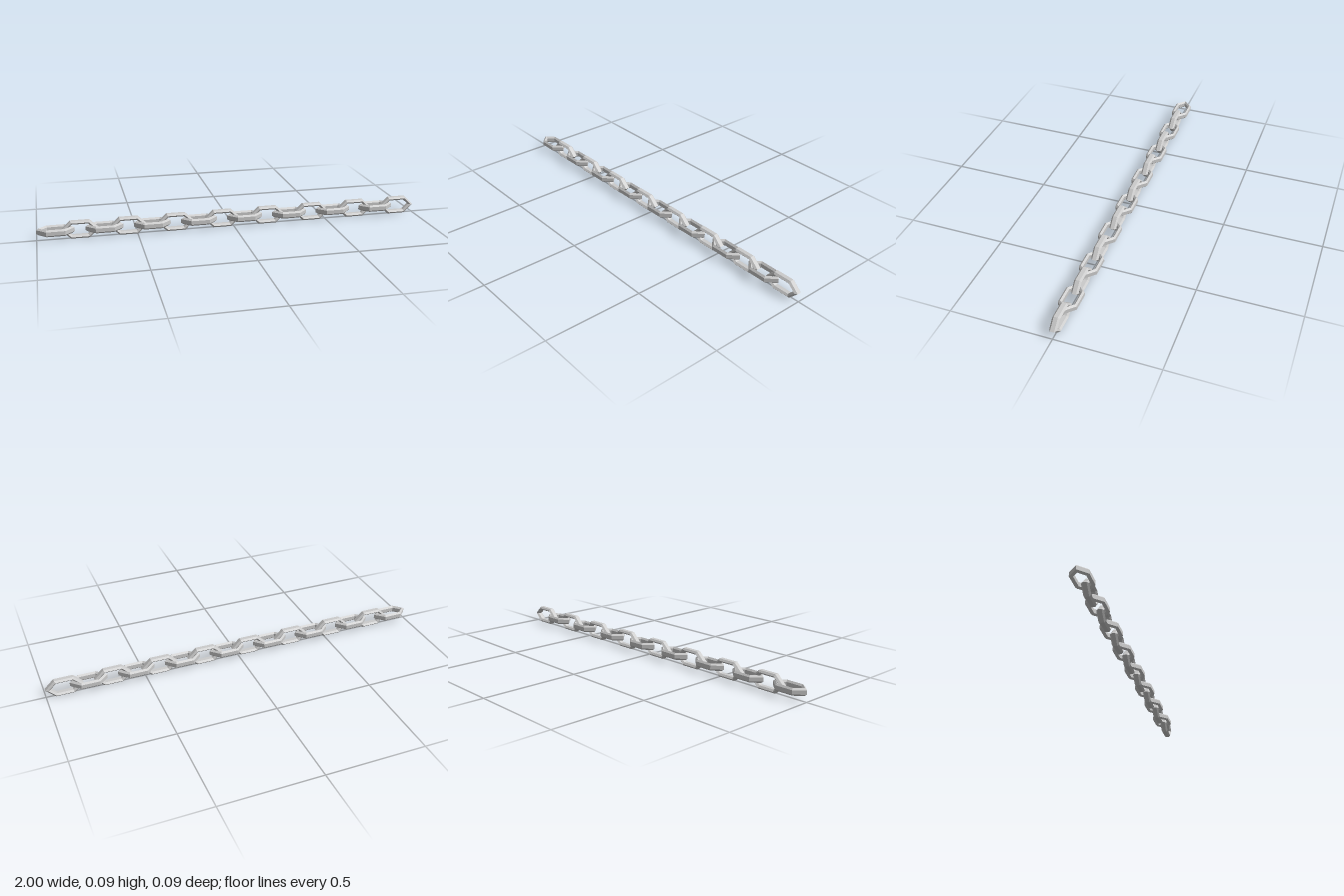
import * as THREE from 'three';

const COUNT = 16, HALF_LENGTH = 0.094, HALF_FLAT = 0.047, HALF_HEIGHT = 0.045;
const HALF_THICK = 0.0085, HALF_WIDTH = 0.018, HALF_FACE = 0.0098;

// Six-cornered link lying in the XY plane, inset by a depth from its outer outline
function corner(i, depth) {
  const slant = Math.atan2(HALF_HEIGHT, HALF_LENGTH - HALF_FLAT);
  const sx = [1, 1, -1, -1, -1, 1][i], sy = [0, 1, 1, 0, -1, -1][i];
  return sy === 0
    ? [sx * (HALF_LENGTH - depth / Math.sin(slant)), 0]
    : [sx * (HALF_FLAT - depth * Math.tan(slant / 2)), sy * (HALF_HEIGHT - depth)];
}

// Hexagonal bar section swept round the link with mitred corners
function linkGeometry() {
  const section = [
    [0, -HALF_FACE], [0, HALF_FACE], [HALF_THICK, HALF_WIDTH],
    [2 * HALF_THICK, HALF_FACE], [2 * HALF_THICK, -HALF_FACE], [HALF_THICK, -HALF_WIDTH],
  ];
  const positions = [], index = [];
  for (let i = 0; i < 6; i++) {
    for (let j = 0; j < 6; j++) {
      const [depth, z] = section[j];
      positions.push(...corner(i, depth), z);
      const a = i * 6 + j, b = ((i + 1) % 6) * 6 + j;
      const c = ((i + 1) % 6) * 6 + (j + 1) % 6, d = i * 6 + (j + 1) % 6;
      index.push(a, b, c, a, c, d);
    }
  }
  const geometry = new THREE.BufferGeometry();
  geometry.setAttribute('position', new THREE.Float32BufferAttribute(positions, 3));
  geometry.setIndex(index);
  const flat = geometry.toNonIndexed();
  flat.computeVertexNormals();
  return flat;
}

export function createModel() {
  const chain = new THREE.Group();
  chain.name = 'chain';
  const geometry = linkGeometry();
  const material = new THREE.MeshStandardMaterial({ color: 0xcccccc, flatShading: true });
  const pitch = (2 - 2 * HALF_LENGTH) / (COUNT - 1);

  // Links alternate between lying flat and standing upright
  for (let i = 0; i < COUNT; i++) {
    const link = new THREE.Mesh(geometry, material);
    const lying = i % 2 === 0;
    link.name = lying ? 'flatLink' : 'uprightLink';
    link.position.set(-1 + HALF_LENGTH + i * pitch, HALF_HEIGHT, 0);
    if (lying) link.rotation.x = Math.PI / 2;
    chain.add(link);
  }
  return chain;
}
